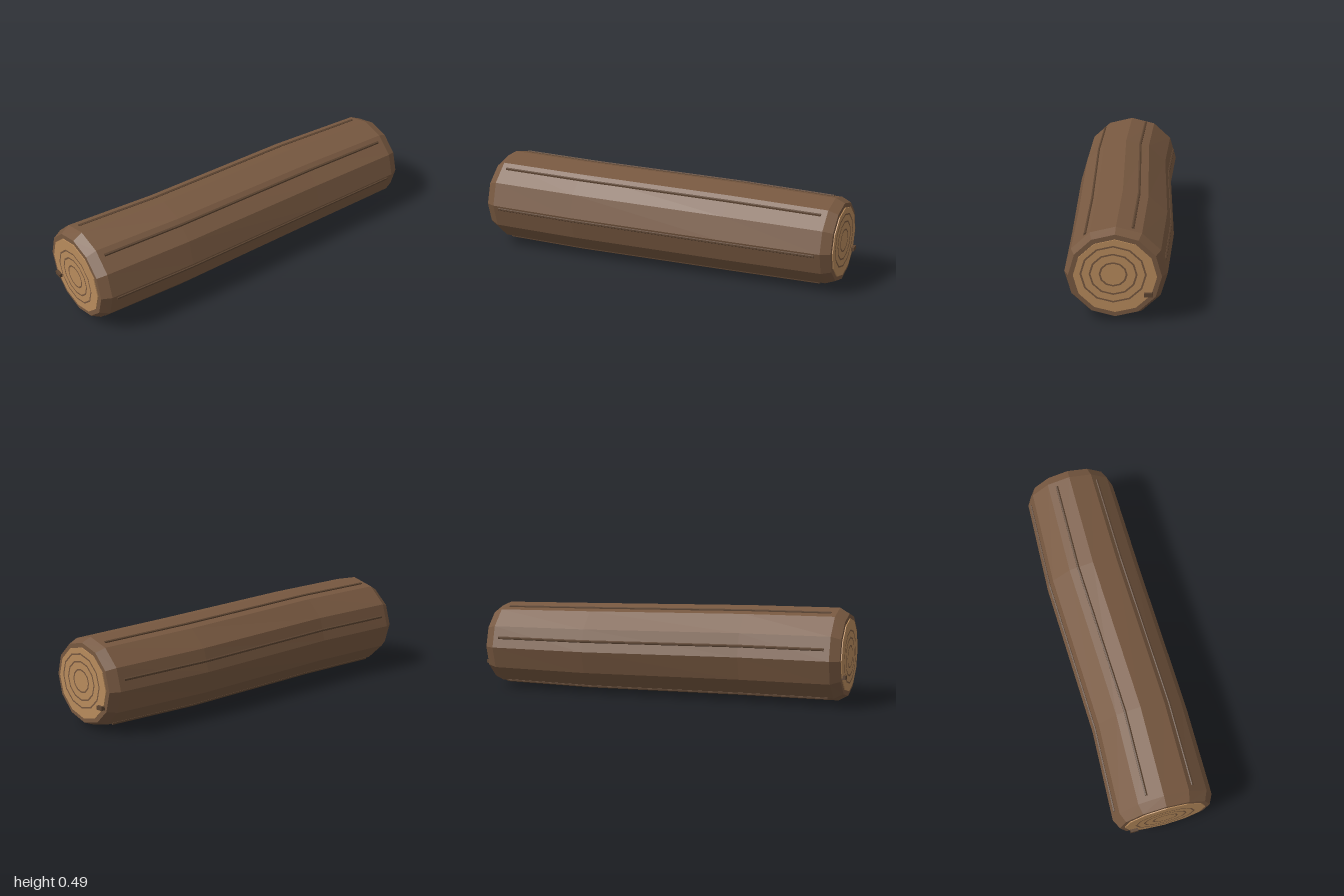
import * as THREE from 'three';

const SIDES = 12;
const bark = new THREE.MeshStandardMaterial({ color: 0x775840, flatShading: true });
bark.name = 'bark';
const cutWood = new THREE.MeshStandardMaterial({ color: 0xb88b5c, flatShading: true });
cutWood.name = 'cut wood';
const darkBark = new THREE.MeshStandardMaterial({ color: 0x5c4431, flatShading: true });
darkBark.name = 'dark bark';

// Trunk cross-sections: [x, centre y, centre z, radius y, radius z]
const SECTIONS = [
  [-0.98, 0.251, 0, 0.214, 0.24],
  [-0.93, 0.252, 0, 0.243, 0.265],
  [-0.45, 0.247, 0.012, 0.242, 0.257],
  [0.4, 0.237, -0.015, 0.235, 0.26],
  [0.93, 0.234, -0.01, 0.226, 0.245],
  [0.98, 0.233, -0.008, 0.205, 0.221],
];

// Closed skin over elliptical cross-sections ordered along +x
function loft(sections, sides) {
  const pos = [];
  const point = ([x, y, z, ry, rz], k) => {
    const a = (k / sides) * Math.PI * 2;
    return [x, y + ry * Math.cos(a), z + rz * Math.sin(a)];
  };
  const tri = (...corners) => corners.forEach((c) => pos.push(...c));
  const first = sections[0];
  const last = sections[sections.length - 1];
  for (let k = 0; k < sides; k++) {
    for (let i = 0; i < sections.length - 1; i++) {
      const a = point(sections[i], k), b = point(sections[i], k + 1);
      const c = point(sections[i + 1], k + 1), d = point(sections[i + 1], k);
      tri(a, b, c);
      tri(a, c, d);
    }
    tri(first.slice(0, 3), point(first, k + 1), point(first, k));
    tri(last.slice(0, 3), point(last, k), point(last, k + 1));
  }
  const geometry = new THREE.BufferGeometry();
  geometry.setAttribute('position', new THREE.Float32BufferAttribute(pos, 3));
  geometry.computeVertexNormals();
  return geometry;
}

// Trunk section interpolated at any x
function sectionAt(x) {
  let i = 0;
  while (i < SECTIONS.length - 2 && SECTIONS[i + 1][0] < x) i++;
  const [a, b] = [SECTIONS[i], SECTIONS[i + 1]];
  const t = (x - a[0]) / (b[0] - a[0]);
  return a.map((v, n) => v + (b[n] - v) * t);
}

// Thin raised strip that follows the trunk at a given angle from the top
function ridge(degrees) {
  const angle = THREE.MathUtils.degToRad(degrees);
  const half = Math.PI / SIDES;
  const within = THREE.MathUtils.euclideanModulo(angle, 2 * half) - half;
  const facet = Math.cos(half) / Math.cos(within);
  const path = [-0.9, -0.45, 0.4, 0.9].map((x) => {
    const [, y, z, ry, rz] = sectionAt(x);
    return [x, y + ry * facet * Math.cos(angle), z + rz * facet * Math.sin(angle), 0.008, 0.008];
  });
  return loft(path, 6);
}

export function createModel() {
  const log = new THREE.Group();
  log.name = 'log';
  const add = (parent, name, geometry, material) => {
    const mesh = new THREE.Mesh(geometry, material);
    mesh.name = name;
    parent.add(mesh);
    return mesh;
  };

  add(log, 'trunk', loft(SECTIONS, SIDES), bark);

  // Bark ridges spread around the trunk
  [38, 94, 152, 210, 284, 341].forEach((a, i) => add(log, `barkRidge${i + 1}`, ridge(a), darkBark));

  // Cut ends: pale disc, growth rings and a small splinter
  for (const side of [-1, 1]) {
    const end = new THREE.Group();
    end.name = side > 0 ? 'leftEnd' : 'rightEnd';
    log.add(end);
    const [x, y, z, ry, rz] = SECTIONS[side > 0 ? SECTIONS.length - 1 : 0];

    const disc = new THREE.CylinderGeometry(1, 1, 0.006, SIDES);
    disc.rotateZ(Math.PI / 2).scale(1, ry * 0.885, rz * 0.895);
    add(end, 'cutFace', disc, cutWood).position.set(x + side * 0.002, y, z);

    for (const radius of [0.068, 0.115, 0.158]) {
      const ring = new THREE.RingGeometry(radius - 0.009, radius, SIDES);
      ring.rotateY((side * Math.PI) / 2).scale(1, 0.9, 1);
      add(end, 'growthRing', ring, bark).position.set(side * 0.987, 0.243, 0);
    }

    const splinter = add(end, 'splinter', new THREE.BoxGeometry(0.03, 0.02, 0.041), darkBark);
    splinter.position.set(side * 0.985, side > 0 ? 0.145 : 0.16, -0.166);
    splinter.rotation.x = 0.06;
  }
  return log;
}
